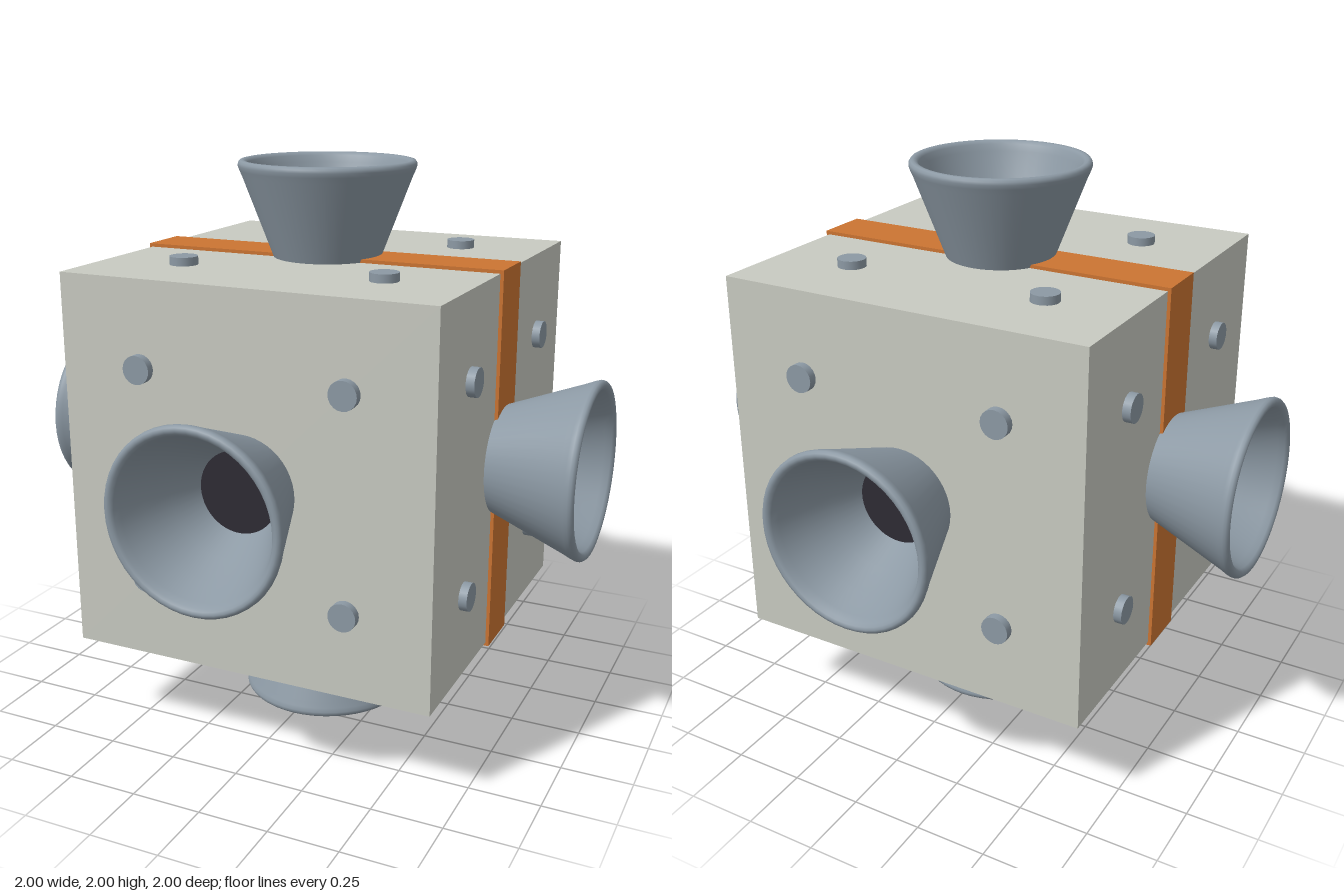
import * as THREE from 'three';

const mat = (name, color) => {
  const m = new THREE.MeshStandardMaterial({ color });
  m.name = name;
  return m;
};

export function createModel() {
  const hull = mat('pale grey hull', 0xc8cac1);
  const orange = mat('orange band', 0xcb7432);
  const steel = mat('blue grey steel', 0x8c99a4);
  const dark = mat('dark throat', 0x2e2b34);

  const root = new THREE.Group();
  root.name = 'thrusterCube';
  const add = (parent, name, geometry, material, x = 0, y = 0, z = 0) => {
    const mesh = new THREE.Mesh(geometry, material);
    mesh.name = name;
    mesh.position.set(x, y, z);
    parent.add(mesh);
    return mesh;
  };

  // Cube body and the raised band running round it
  const H = 0.665;
  add(root, 'body', new THREE.BoxGeometry(2 * H, 2 * H, 2 * H), hull, 0, 1, 0);
  add(root, 'band', new THREE.BoxGeometry(1.354, 1.354, 0.19), orange, 0, 1, 0);

  // Nozzle wall: outer cone, rounded lip, inner cone down to the throat
  const profile = [
    [0.185, 0.65], [0.297, 0.945], [0.306, 0.965], [0.311, 0.98], [0.31, 0.99],
    [0.304, 0.998], [0.295, 1.0], [0.285, 0.997], [0.277, 0.988], [0.268, 0.965],
    [0.235, 0.88], [0.19, 0.785], [0.14, 0.682],
  ].map(([r, y]) => new THREE.Vector2(r, y));
  const nozzleGeo = new THREE.LatheGeometry(profile, 48);
  const throatGeo = new THREE.CircleGeometry(0.142, 40).rotateX(-Math.PI / 2);
  const boltGeo = new THREE.CylinderGeometry(0.049, 0.049, 0.05, 20);

  // One nozzle and four bolts on each face, built pointing up and then turned
  const faces = {
    top: [0, 0, 0], bottom: [Math.PI, 0, 0],
    front: [Math.PI / 2, 0, 0], back: [-Math.PI / 2, 0, 0],
    left: [0, 0, -Math.PI / 2], right: [0, 0, Math.PI / 2],
  };
  for (const [side, turn] of Object.entries(faces)) {
    const face = new THREE.Group();
    face.name = side + 'Face';
    face.position.y = 1;
    face.rotation.set(...turn);
    add(face, 'nozzle', nozzleGeo, steel);
    add(face, 'throat', throatGeo, dark, 0, 0.684, 0);
    for (const x of [-0.368, 0.368]) {
      for (const z of [-0.368, 0.368]) add(face, 'bolt', boltGeo, steel, x, 0.669, z);
    }
    root.add(face);
  }
  nozzleGeo.computeBoundingBox();
  steel.side = THREE.DoubleSide;
  return root;
}
